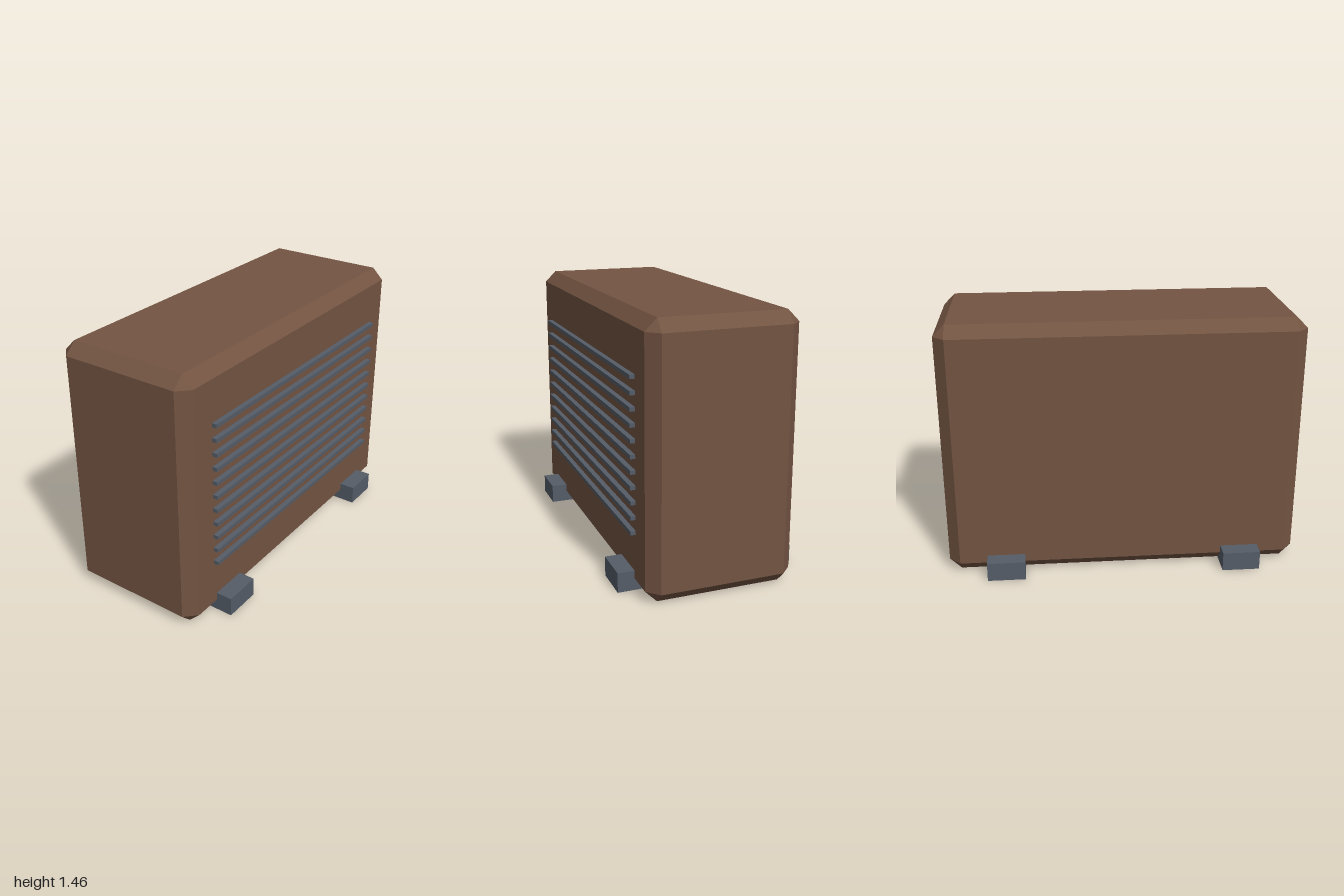
import * as THREE from 'three';
import { ConvexGeometry } from 'three/addons/geometries/ConvexGeometry.js';

// Box with flat chamfers on every edge and triangular corners
function chamferedBox(w, h, d, c) {
  const half = [w / 2, h / 2, d / 2];
  const points = [];
  for (const sx of [-1, 1]) for (const sy of [-1, 1]) for (const sz of [-1, 1]) {
    for (let full = 0; full < 3; full++) {
      const p = half.map((v, i) => (i === full ? v : v - c));
      points.push(new THREE.Vector3(p[0] * sx, p[1] * sy, p[2] * sz));
    }
  }
  return new ConvexGeometry(points);
}

export function createModel() {
  const group = new THREE.Group();
  const brown = new THREE.MeshStandardMaterial({ color: 0x735442 });
  brown.name = 'brown casing';
  const slate = new THREE.MeshStandardMaterial({ color: 0x555d68 });
  slate.name = 'slate grey';

  const add = (name, geometry, material, x, y, z) => {
    const mesh = new THREE.Mesh(geometry, material);
    mesh.name = name;
    mesh.position.set(x, y, z);
    group.add(mesh);
  };

  // Casing, a hair above the ground so the feet stay visible beneath
  const height = 1.455, lift = 0.001;
  add('casing', chamferedBox(2, height - lift, 0.814, 0.064), brown, 0, (height + lift) / 2, 0);

  // Horizontal grille slats on the front
  const slat = new THREE.BoxGeometry(1.6, 0.022, 0.05);
  for (let i = 0; i < 11; i++) {
    add('grilleSlat', slat, slate, 0, 0.33 + i * 0.0818, 0.41);
  }

  // Foot rails running front to back
  const foot = new THREE.BoxGeometry(0.214, 0.11, 1);
  for (const side of [-1, 1]) {
    add(side > 0 ? 'leftFoot' : 'rightFoot', foot, slate, side * 0.672, 0.055, 0);
  }

  return group;
}
